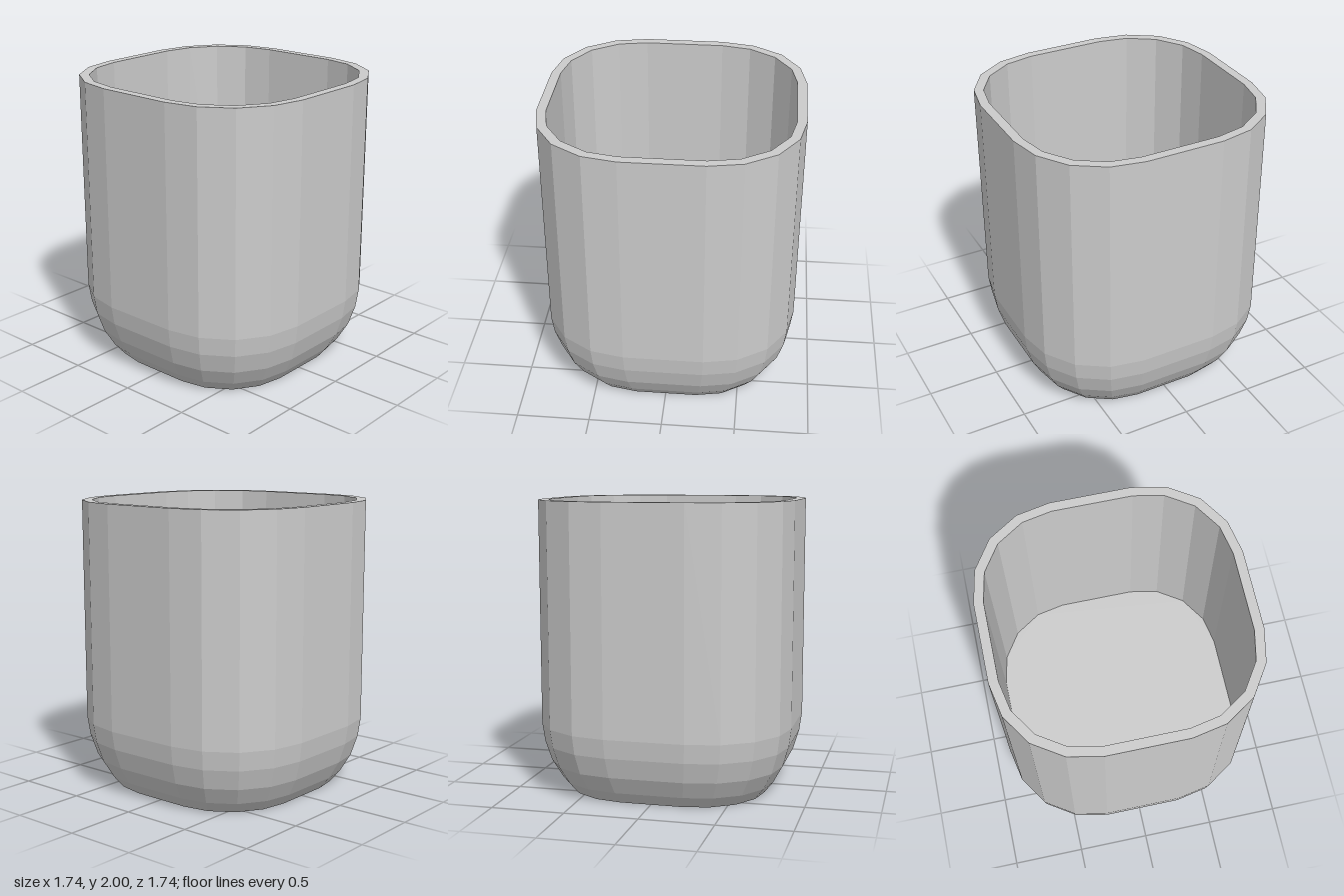
import * as THREE from 'three';

// Rounded-square outlines: one quarter as [x, z] points, turned four times
const OUTER = [[0.872, -0.27], [0.872, 0.27], [0.827, 0.497], [0.697, 0.697], [0.497, 0.827]];
const INNER = [[0.808, -0.27], [0.808, 0.27], [0.768, 0.47], [0.65, 0.65], [0.47, 0.768]];

function ring(quarter, y, scale = 1) {
  const points = [];
  for (let q = 0; q < 4; q++) {
    for (const [x, z] of quarter) {
      const [px, pz] = [[x, z], [-z, x], [-x, -z], [z, -x]][q];
      points.push([px * scale, y, pz * scale]);
    }
  }
  return points;
}

// Joins successive rings with flat-shaded bands
function loft(name, rings, material) {
  const positions = [];
  for (let r = 0; r < rings.length - 1; r++) {
    const a = rings[r], b = rings[r + 1], n = a.length;
    for (let i = 0; i < n; i++) {
      const j = (i + 1) % n;
      positions.push(...a[i], ...b[i], ...b[j], ...a[i], ...b[j], ...a[j]);
    }
  }
  const geometry = new THREE.BufferGeometry();
  geometry.setAttribute('position', new THREE.Float32BufferAttribute(positions, 3));
  geometry.computeVertexNormals();
  const mesh = new THREE.Mesh(geometry, material);
  mesh.name = name;
  return mesh;
}

// Flat cap filling one outline, facing up or down
function cap(name, quarter, scale, y, up, material) {
  const shape = new THREE.Shape(ring(quarter, 0, scale).map(([x, , z]) => new THREE.Vector2(x, z)));
  const mesh = new THREE.Mesh(new THREE.ShapeGeometry(shape), material);
  mesh.name = name;
  mesh.rotation.x = up ? -Math.PI / 2 : Math.PI / 2;
  mesh.position.y = y;
  return mesh;
}

export function createModel() {
  const group = new THREE.Group();
  group.name = 'cup';
  const material = new THREE.MeshStandardMaterial({ color: 0xcccccc, flatShading: true });

  // Outer wall, rounding in towards the base: [y, scale]
  const profile = [[0, 0.787], [0.08, 0.857], [0.2, 0.932], [0.34, 0.98], [0.47, 1], [2, 1]];
  group.add(loft('outerWall', profile.map(([y, s]) => ring(OUTER, y, s)), material));
  group.add(cap('base', OUTER, 0.787, 0, false, material));

  // Rim and straight hollow with a flat floor
  const floorY = 0.47;
  group.add(loft('rim', [ring(OUTER, 2), ring(INNER, 2)], material));
  group.add(loft('innerWall', [ring(INNER, 2), ring(INNER, floorY)], material));
  group.add(cap('innerFloor', INNER, 1, floorY, true, material));
  return group;
}
